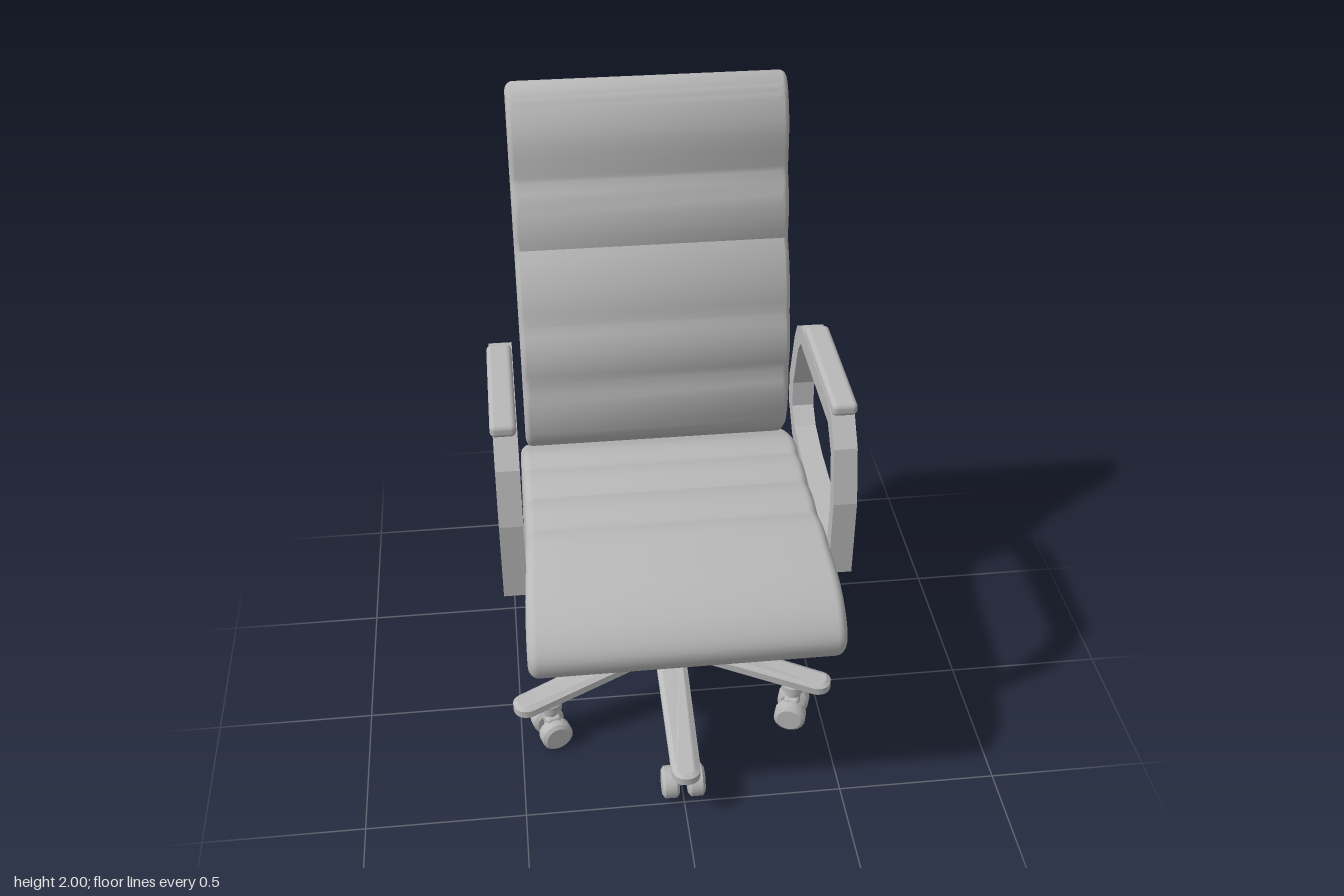
import * as THREE from 'three';
import { toCreasedNormals } from 'three/addons/utils/BufferGeometryUtils.js';
import { RoundedBoxGeometry } from 'three/addons/geometries/RoundedBoxGeometry.js';

const grey = new THREE.MeshStandardMaterial({ color: 0xb8b8b8 });
grey.name = 'warm grey';

const v2 = (pts) => pts.map(([a, b]) => new THREE.Vector2(a, b));

function add(parent, name, geometry, x = 0, y = 0, z = 0) {
  const mesh = new THREE.Mesh(geometry, grey);
  mesh.name = name;
  mesh.position.set(x, y, z);
  parent.add(mesh);
  return mesh;
}

// Extrude a side profile, drawn as (z, y), across x and centre it
function acrossX(shape, width, bevel = 0, depth = bevel, crease = 0.6) {
  const geo = new THREE.ExtrudeGeometry(shape, {
    depth: width - 2 * depth, curveSegments: 6, bevelEnabled: bevel > 0,
    bevelSize: bevel, bevelOffset: -bevel, bevelThickness: depth, bevelSegments: 5,
  });
  geo.translate(0, 0, depth - width / 2);
  geo.rotateY(-Math.PI / 2);
  return toCreasedNormals(geo, crease);
}

// Padded panels that bulge between stitched creases
function panels(shape, creases, bulge) {
  for (let i = 1; i < creases.length; i++) {
    const [a, b] = creases[i - 1], [c, d] = creases[i];
    const len = Math.hypot(c - a, d - b);
    shape.quadraticCurveTo(
      (a + c) / 2 - (d - b) / len * bulge, (b + d) / 2 + (c - a) / len * bulge, c, d);
  }
}

function cushion(creases, outline, bulge, width, bevel, depth) {
  const shape = new THREE.Shape();
  shape.moveTo(...creases[0]);
  panels(shape, creases, bulge);
  shape.splineThru(v2([...outline, creases[0]]));
  return acrossX(shape, width, bevel, depth);
}

function seatGeometry() {
  const geo = cushion(
    [[-0.27, 0.865], [-0.14, 0.878], [0.02, 0.88], [0.175, 0.88], [0.33, 0.875]],
    [[0.45, 0.85], [0.55, 0.795], [0.6, 0.725], [0.58, 0.655], [0.51, 0.635], [0.445, 0.65],
      [0.385, 0.695], [0.3, 0.715], [-0.07, 0.705], [-0.31, 0.69], [-0.385, 0.71],
      [-0.41, 0.77], [-0.36, 0.82]],
    0.03, 0.89, 0.035, 0.03);
  // the seat widens toward its front edge
  const p = geo.attributes.position;
  for (let i = 0; i < p.count; i++) {
    const t = THREE.MathUtils.smoothstep(p.getZ(i), 0.1, 0.6);
    p.setX(i, p.getX(i) * (1 + 0.045 * t));
  }
  return geo;
}

const backGeometry = () => cushion(
  [[-0.435, 1.725], [-0.385, 1.52], [-0.297, 1.3], [-0.268, 1.11], [-0.275, 0.89]],
  [[-0.34, 0.825], [-0.42, 0.8], [-0.462, 0.84], [-0.445, 0.92], [-0.41, 1.03], [-0.402, 1.18],
    [-0.43, 1.34], [-0.5, 1.53], [-0.565, 1.71], [-0.6, 1.88], [-0.585, 1.965], [-0.545, 2],
    [-0.49, 1.96], [-0.445, 1.86]],
  0.035, 0.85, 0.03, 0.025);

function armGeometry() {
  const shape = new THREE.Shape(v2([
    [0.335, 0.765], [0.335, 1.02], [0.29, 1.185], [0.22, 1.265], [0.17, 1.275], [-0.26, 1.275],
    [-0.32, 1.24], [-0.35, 1.185], [-0.4, 1.015], [-0.395, 0.92], [-0.31, 0.835], [-0.18, 0.8]]));
  shape.holes.push(new THREE.Path(v2([
    [0.285, 0.82], [0.29, 1.0], [0.255, 1.15], [0.19, 1.215], [-0.25, 1.215], [-0.285, 1.175],
    [-0.335, 1.015], [-0.33, 0.93], [-0.275, 0.885], [-0.155, 0.855]])));
  return acrossX(shape, 0.07, 0, 0, 0.2);
}

function bracketGeometry() {
  const shape = new THREE.Shape();
  shape.moveTo(0.2, 0.655);
  shape.lineTo(-0.31, 0.655);
  shape.splineThru(v2([[-0.39, 0.68], [-0.47, 0.76], [-0.503, 0.87], [-0.49, 0.95], [-0.455, 1.03]]));
  shape.lineTo(-0.415, 1.015);
  shape.splineThru(v2([[-0.455, 0.92], [-0.46, 0.85], [-0.43, 0.77], [-0.37, 0.71], [-0.31, 0.7]]));
  shape.lineTo(0.2, 0.7);
  return acrossX(shape, 0.21);
}

// Tapered leg with a rounded tip, running out along z and sloping down
function legGeometry() {
  const shape = new THREE.Shape();
  shape.moveTo(-0.05, 0);
  shape.lineTo(-0.045, 0.5);
  shape.quadraticCurveTo(-0.04, 0.545, 0, 0.545);
  shape.quadraticCurveTo(0.04, 0.545, 0.045, 0.5);
  shape.lineTo(0.05, 0);
  const geo = new THREE.ExtrudeGeometry(shape, {
    depth: 0.025, bevelThickness: 0.01, bevelSize: 0.014, bevelOffset: -0.014,
    bevelSegments: 1, curveSegments: 6,
  });
  geo.rotateX(Math.PI / 2);
  const p = geo.attributes.position;
  for (let i = 0; i < p.count; i++) {
    const z = p.getZ(i);
    p.setY(i, p.getY(i) + 0.29 - 0.21 * Math.min(z, 0.48));
  }
  return toCreasedNormals(geo, 0.4);
}

function turned(points, segments = 32) {
  return toCreasedNormals(new THREE.LatheGeometry(v2(points), segments), 0.6);
}

function caster() {
  const group = new THREE.Group();
  group.name = 'caster';
  add(group, 'casterStem', turned([[0, 0.06], [0.024, 0.06], [0.024, 0.135], [0.038, 0.14],
    [0.038, 0.165], [0.03, 0.175], [0, 0.175]], 20));
  add(group, 'casterFork', new RoundedBoxGeometry(0.07, 0.04, 0.05, 2, 0.012), 0, 0.095, 0);
  const wheel = turned([[0, -0.027], [0.04, -0.027], [0.052, -0.018], [0.052, 0.018],
    [0.04, 0.027], [0, 0.027]], 20);
  wheel.rotateZ(Math.PI / 2);
  for (const s of [-1, 1]) add(group, 'casterWheel', wheel, s * 0.041, 0.055, 0);
  const axle = new THREE.CylinderGeometry(0.015, 0.015, 0.06, 12);
  axle.rotateZ(Math.PI / 2);
  add(group, 'casterAxle', axle, 0, 0.055, 0);
  return group;
}

export function createModel() {
  const chair = new THREE.Group();
  chair.name = 'officeChair';

  // Upholstery
  add(chair, 'seat', seatGeometry());
  add(chair, 'backrest', backGeometry());

  // Armrests
  const arm = armGeometry();
  for (const s of [-1, 1]) {
    add(chair, s > 0 ? 'leftArm' : 'rightArm', arm, s * 0.486);
    add(chair, s > 0 ? 'leftArmPad' : 'rightArmPad',
      new RoundedBoxGeometry(0.076, 0.042, 0.455, 3, 0.016), s * 0.491, 1.278, 0.005);
  }

  // Bracket under the seat and up the back
  add(chair, 'backBracket', bracketGeometry());
  add(chair, 'mountPlate', new THREE.BoxGeometry(0.14, 0.025, 0.24), 0, 0.643, 0.035);

  // Pedestal: gas lift, hub, five legs and casters
  const base = new THREE.Group();
  base.name = 'base';
  base.position.z = 0.035;
  chair.add(base);
  add(base, 'gasLift', turned([[0, 0.44], [0.03, 0.44], [0.03, 0.585], [0.04, 0.59],
    [0.04, 0.645], [0, 0.645]]));
  add(base, 'columnHousing', turned([[0, 0.23], [0.055, 0.23], [0.06, 0.295], [0.09, 0.297],
    [0.09, 0.46], [0, 0.46]]));
  const leg = legGeometry();
  for (let i = 0; i < 5; i++) {
    const spoke = new THREE.Group();
    spoke.name = 'spoke';
    spoke.rotation.y = i * Math.PI * 0.4;
    add(spoke, 'leg', leg);
    const roller = caster();
    roller.position.z = 0.422;
    spoke.add(roller);
    base.add(spoke);
  }
  return chair;
}
